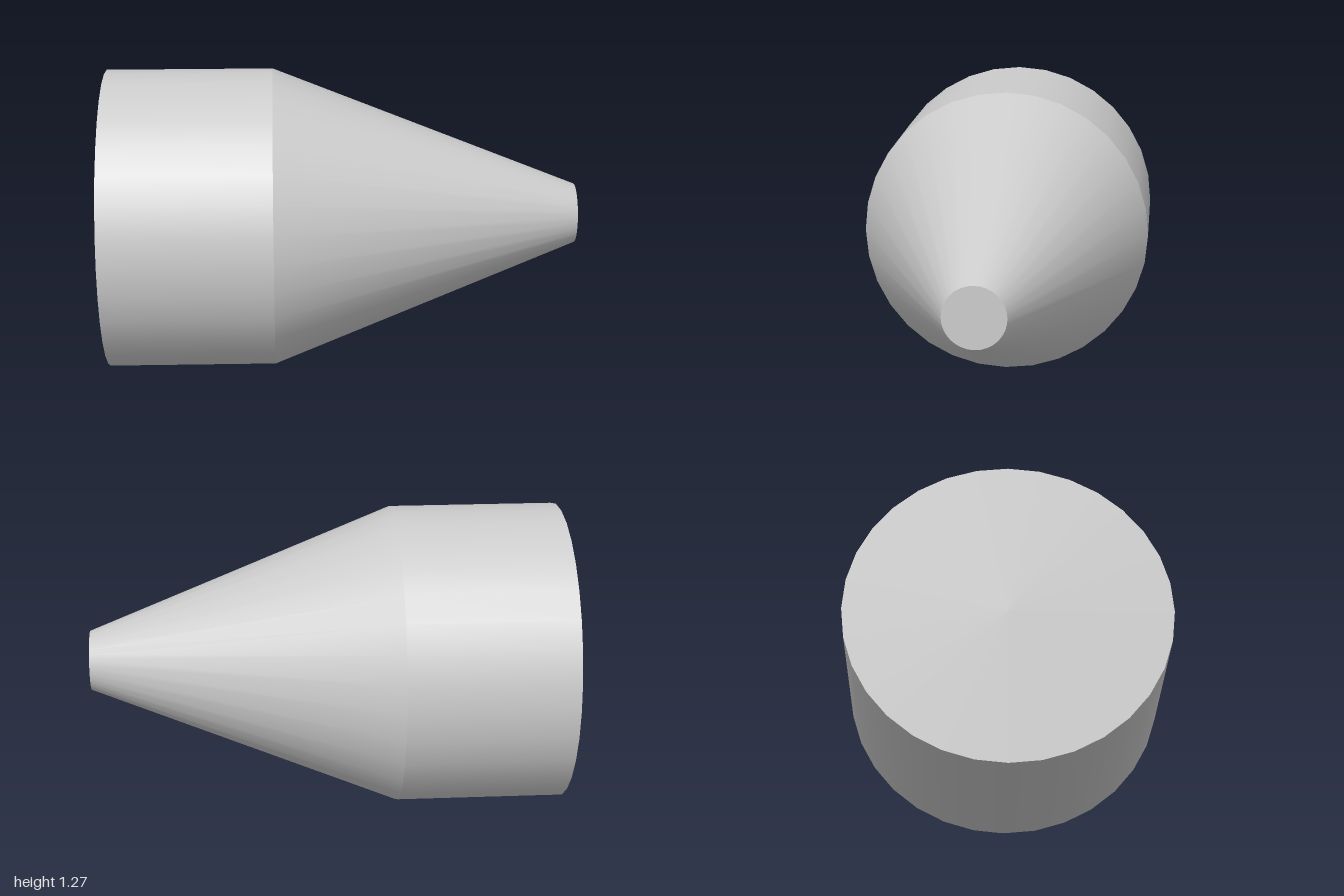
import * as THREE from 'three';

const SIDES = 32;
const RADIUS = 0.635;
const TIP_RADIUS = 0.127;
const BACK = -1, SHOULDER = -0.295, TIP = 1;

export function createModel() {
  const group = new THREE.Group();
  group.name = 'taperedNozzle';
  const material = new THREE.MeshStandardMaterial({ color: 0xcccccc });

  const add = (name, geometry, x) => {
    const mesh = new THREE.Mesh(geometry, material);
    mesh.name = name;
    mesh.position.set(x, RADIUS, 0);
    group.add(mesh);
  };

  // Open-ended wall running along x from x0 (radius r0) to x1 (radius r1)
  const wall = (name, x0, r0, x1, r1) => add(
    name,
    new THREE.CylinderGeometry(r1, r0, x1 - x0, SIDES, 1, true).rotateZ(-Math.PI / 2),
    (x0 + x1) / 2
  );

  // Flat end disc facing along +x (side 1) or -x (side -1)
  const cap = (name, x, r, side) => add(
    name,
    new THREE.CircleGeometry(r, SIDES).rotateY(side * Math.PI / 2),
    x
  );

  wall('cylindricalBody', BACK, RADIUS, SHOULDER, RADIUS);
  wall('taperedCone', SHOULDER, RADIUS, TIP, TIP_RADIUS);
  cap('backCap', BACK, RADIUS, -1);
  cap('tipCap', TIP, TIP_RADIUS, 1);

  return group;
}
